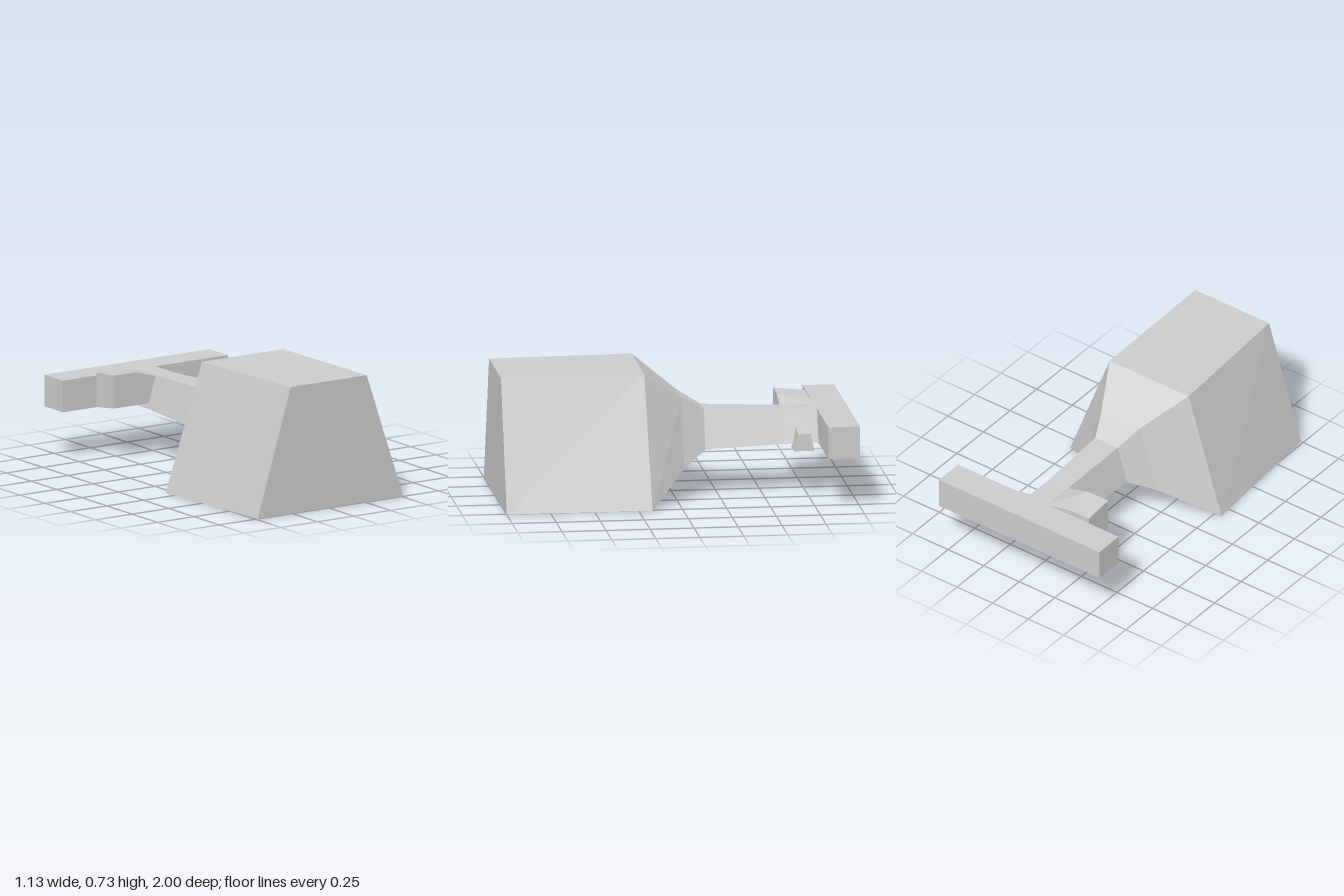
import * as THREE from 'three';

const material = new THREE.MeshStandardMaterial({ color: 0xcccccc, flatShading: true });

// Closed solid through four-cornered rings, each counter-clockwise seen from the first end
function loft(name, rings) {
  const tris = [];
  const last = rings[rings.length - 1];
  for (let i = 0; i < rings.length - 1; i++) {
    for (let j = 0; j < 4; j++) {
      const k = (j + 1) % 4;
      const a = rings[i][j], b = rings[i][k], c = rings[i + 1][k], d = rings[i + 1][j];
      tris.push(a, d, c, a, c, b);
    }
  }
  const f = rings[0];
  tris.push(f[0], f[1], f[2], f[0], f[2], f[3]);
  tris.push(last[0], last[2], last[1], last[0], last[3], last[2]);
  const geometry = new THREE.BufferGeometry();
  geometry.setAttribute('position', new THREE.Float32BufferAttribute(tris.flat(), 3));
  geometry.computeVertexNormals();
  const mesh = new THREE.Mesh(geometry, material);
  mesh.name = name;
  return mesh;
}

export function createModel() {
  const group = new THREE.Group();
  group.name = 'model';

  // Trapezoid section across z: bottom edge x0..x1, top edge x2..x3
  const section = ([z, x0, x1, x2, x3, yBottom, yTop, zTop = z]) => [
    [x0, yBottom, z], [x1, yBottom, z], [x3, yTop, zTop], [x2, yTop, zTop],
  ];

  // Block tapering into a narrow stem
  group.add(loft('bodyAndStem', [
    [1, -0.485, 0.51, -0.26, 0.26, 0, 0.733],
    [0.173, -0.545, 0.52, -0.305, 0.25, 0, 0.73, 0.185],
    [-0.04, -0.25, 0.265, -0.13, 0.14, 0.18, 0.56],
    [-0.175, -0.14, 0.155, -0.075, 0.083, 0.265, 0.48],
    [-0.63, -0.12, 0.132, -0.065, 0.07, 0.28, 0.463],
    [-0.83, -0.12, 0.13, -0.065, 0.07, 0.28, 0.463],
  ].map(section)));

  // Crossbar at the back end of the stem
  const bar = new THREE.Mesh(new THREE.BoxGeometry(1.128, 0.183, 0.18), material);
  bar.name = 'crossbar';
  bar.position.set(0, 0.3715, -0.91);
  group.add(bar);

  // Side tab, bending down to meet the stem
  const tabRing = ([x, zBack, yBack, yFront]) => [
    [x, 0.285, zBack], [x, 0.31, -0.625], [x, yFront, -0.625], [x, yBack, zBack],
  ];
  group.add(loft('sideTab', [
    [-0.345, -0.805, 0.483, 0.502],
    [-0.2, -0.805, 0.48, 0.5],
    [-0.065, -0.822, 0.462, 0.462],
  ].map(tabRing)));

  // Small tapered knob on the other side
  const knobRing = ([x, yTop]) => [
    [x, 0.255, -0.67], [x, 0.255, -0.785], [x, yTop, -0.765], [x, yTop, -0.695],
  ];
  group.add(loft('sideKnob', [[0.222, 0.352], [0.1, 0.375]].map(knobRing)));

  return group;
}
